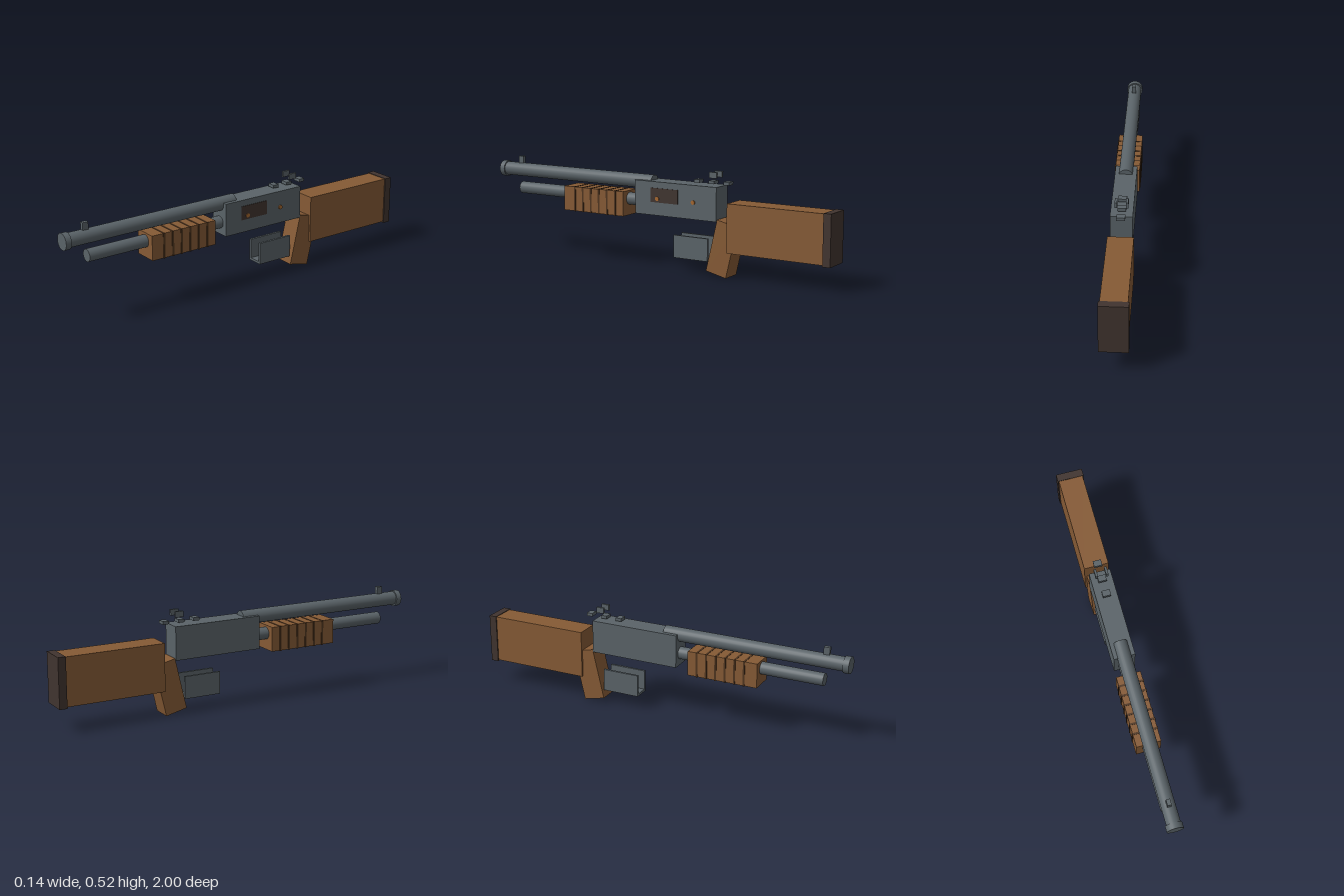
import * as THREE from 'three';

export function createModel() {
  const model = new THREE.Group();
  const material = (name, color) => {
    const m = new THREE.MeshStandardMaterial({ color });
    m.name = name;
    return m;
  };
  const metal = material('grey metal', 0x5a6368);
  const wood = material('brown wood', 0x855a35);
  const darkWood = material('dark wood', 0x4f351f);
  const rubber = material('dark rubber', 0x40342f);
  const copper = material('copper', 0xa5672f);

  const add = (name, geometry, mat, x, y, z) => {
    const mesh = new THREE.Mesh(geometry, mat);
    mesh.name = name;
    mesh.position.set(x, y, z);
    model.add(mesh);
    return mesh;
  };
  // Box given by its lower and upper corners
  const box = (name, mat, [x0, y0, z0], [x1, y1, z1]) =>
    add(name, new THREE.BoxGeometry(x1 - x0, y1 - y0, z1 - z0), mat,
      (x0 + x1) / 2, (y0 + y1) / 2, (z0 + z1) / 2);
  // Cylinder lying along z
  const tube = (name, r, y, z0, z1) =>
    add(name, new THREE.CylinderGeometry(r, r, z1 - z0, 24).rotateX(Math.PI / 2),
      metal, 0, y, (z0 + z1) / 2);

  // Barrel, muzzle ring and lower tube
  tube('barrel', 0.036, 0.439, 0.02, 0.99);
  tube('muzzleRing', 0.0425, 0.438, 0.97, 1);
  tube('lowerTube', 0.032, 0.341, 0.08, 0.873);
  box('frontSight', metal, [-0.01, 0.465, 0.862], [0.01, 0.512, 0.893]);

  // Sliding fore-end with ribs
  box('foreEnd', wood, [-0.063, 0.255, 0.172], [0.063, 0.383, 0.546]);
  for (let i = 0; i < 6; i++) {
    const z = 0.222 + i * 0.051;
    box('foreEndRib', darkWood, [-0.066, 0.2535, z - 0.005], [0.066, 0.3845, z + 0.005]);
  }

  // Receiver with side port and pins
  box('receiver', metal, [-0.055, 0.278, -0.375], [0.055, 0.45, 0.102]);
  box('sidePort', rubber, [0.052, 0.345, -0.155], [0.058, 0.418, 0.006]);
  for (const z of [-0.033, -0.243]) {
    add('pin', new THREE.CylinderGeometry(0.011, 0.011, 0.012, 12).rotateZ(Math.PI / 2),
      copper, 0.055, 0.364, z);
  }

  // Rail blocks and rear sight posts
  for (const z of [-0.242, -0.326, -0.411]) {
    box('railBlock', metal, [-0.021, 0.459, z - 0.016], [0.021, 0.475, z + 0.016]);
  }
  for (const x of [-0.027, 0.027]) {
    box('rearSightPost', metal, [x - 0.006, 0.49, -0.363], [x + 0.006, 0.52, -0.321]);
  }

  // U-shaped guard
  const u = new THREE.Shape([
    [-0.044, 0.07], [0.044, 0.07], [0.044, 0.186], [0.0315, 0.186],
    [0.0315, 0.083], [-0.0315, 0.083], [-0.0315, 0.186], [-0.044, 0.186],
  ].map(([x, y]) => new THREE.Vector2(x, y)));
  add('guard', new THREE.ExtrudeGeometry(u, { depth: 0.198, bevelEnabled: false }),
    metal, 0, 0, -0.32);

  // Raked grip, stock and end pad
  add('grip', new THREE.BoxGeometry(0.106, 0.27, 0.116), wood, 0, 0.1447, -0.405)
    .rotation.x = -0.23;
  box('stock', wood, [-0.064, 0.13, -0.96], [0.064, 0.377, -0.44]);
  box('endPad', rubber, [-0.07, 0.124, -1], [0.07, 0.38, -0.96]);

  return model;
}
